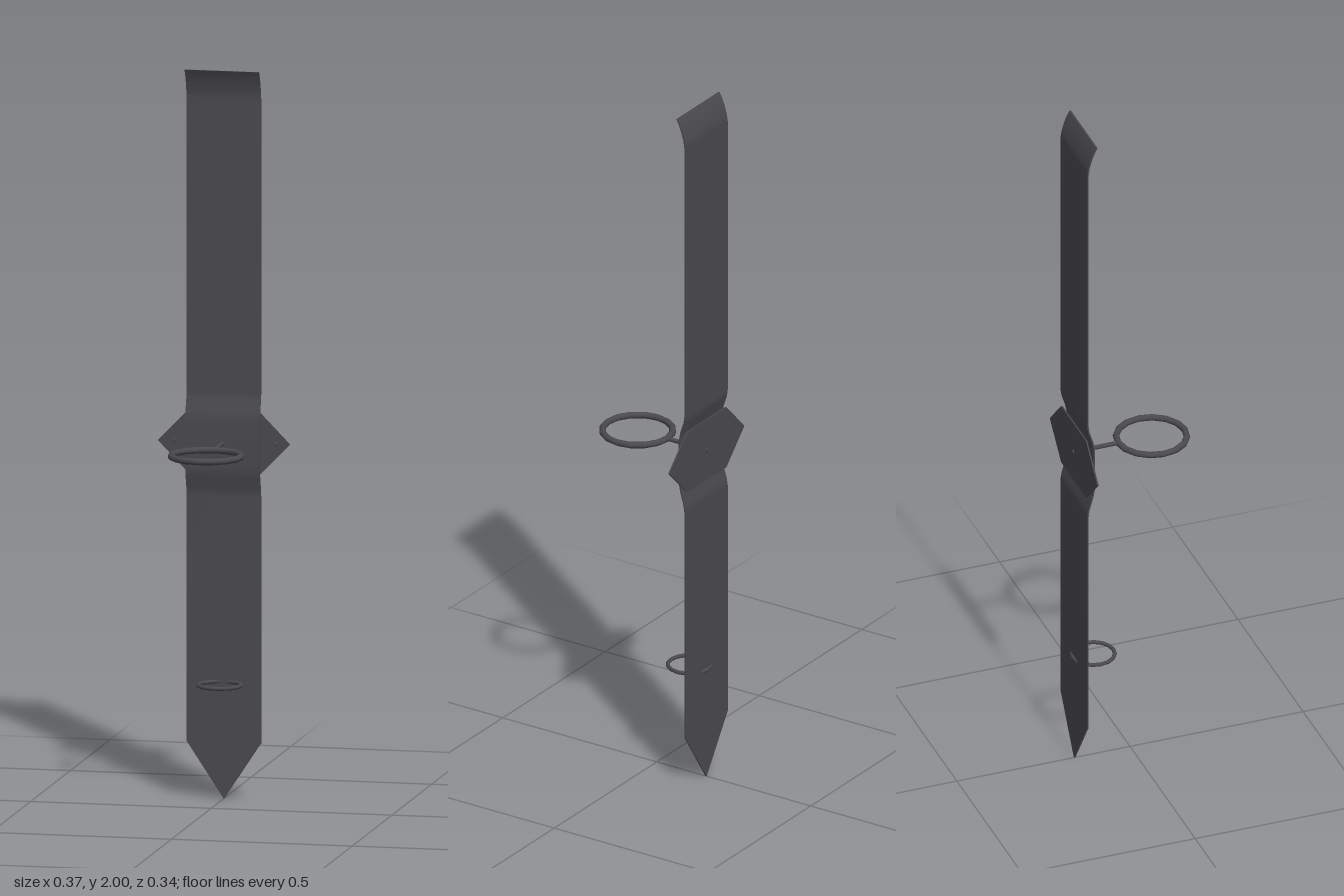
import * as THREE from 'three';

const darkIron = new THREE.MeshStandardMaterial({ color: 0x4a494d });
darkIron.name = 'dark iron';

// height, depth and half width of the strap, from the point to the bent tip
const rows = [
  [0, -0.16, 0.0005], [0.155, -0.16, 0.103], [0.83, -0.16, 0.103],
  [0.85, -0.157, 0.103], [0.885, -0.147, 0.103], [0.91, -0.142, 0.103],
  [1.04, -0.142, 0.103], [1.065, -0.147, 0.103], [1.095, -0.157, 0.103],
  [1.115, -0.16, 0.103], [1.92, -0.16, 0.103], [1.94, -0.157, 0.103],
  [1.965, -0.15, 0.103], [1.985, -0.142, 0.103], [2, -0.134, 0.103],
];

function strapGeometry() {
  const n = rows.length - 1;
  const geo = new THREE.BoxGeometry(2, n, 0.004, 1, n, 1);
  const p = geo.attributes.position;
  for (let i = 0; i < p.count; i++) {
    const [y, z, w] = rows[Math.round(p.getY(i) + n / 2)];
    p.setXYZ(i, p.getX(i) * w, y, p.getZ(i) + z);
  }
  geo.computeVertexNormals();
  return geo;
}

function plateGeometry() {
  const s = new THREE.Shape([
    [0.183, 0], [0.095, 0.09], [-0.095, 0.09],
    [-0.183, 0], [-0.095, -0.09], [0.095, -0.09],
  ].map(([x, y]) => new THREE.Vector2(x, y)));
  return new THREE.ExtrudeGeometry(s, { depth: 0.004, bevelEnabled: false });
}

export function createModel() {
  const model = new THREE.Group();
  model.name = 'strapWithRings';
  const add = (name, geo, x, y, z) => {
    const mesh = new THREE.Mesh(geo, darkIron);
    mesh.name = name;
    mesh.position.set(x, y, z);
    model.add(mesh);
    return mesh;
  };
  const midY = 0.977;

  add('strap', strapGeometry(), 0, 0, 0);
  add('backPlate', plateGeometry(), 0, midY, -0.163);

  // rivets on the ears of the plate
  for (const side of [-1, 1]) {
    const rivet = new THREE.CylinderGeometry(0.006, 0.008, 0.009, 10).rotateX(Math.PI / 2);
    add(side > 0 ? 'leftRivet' : 'rightRivet', rivet, side * 0.142, midY, -0.157);
  }

  // stem through the strap, carrying the large ring
  add('ringStem', new THREE.CylinderGeometry(0.006, 0.006, 0.127, 10).rotateX(Math.PI / 2), 0, midY, -0.1035);
  add('largeRing', new THREE.TorusGeometry(0.096, 0.009, 10, 16).rotateX(Math.PI / 2), 0, midY, 0.062);

  // small ring passing through the strap
  add('smallRing', new THREE.TorusGeometry(0.0585, 0.0055, 10, 16).rotateX(Math.PI / 2), 0, 0.32, -0.106);

  return model;
}
